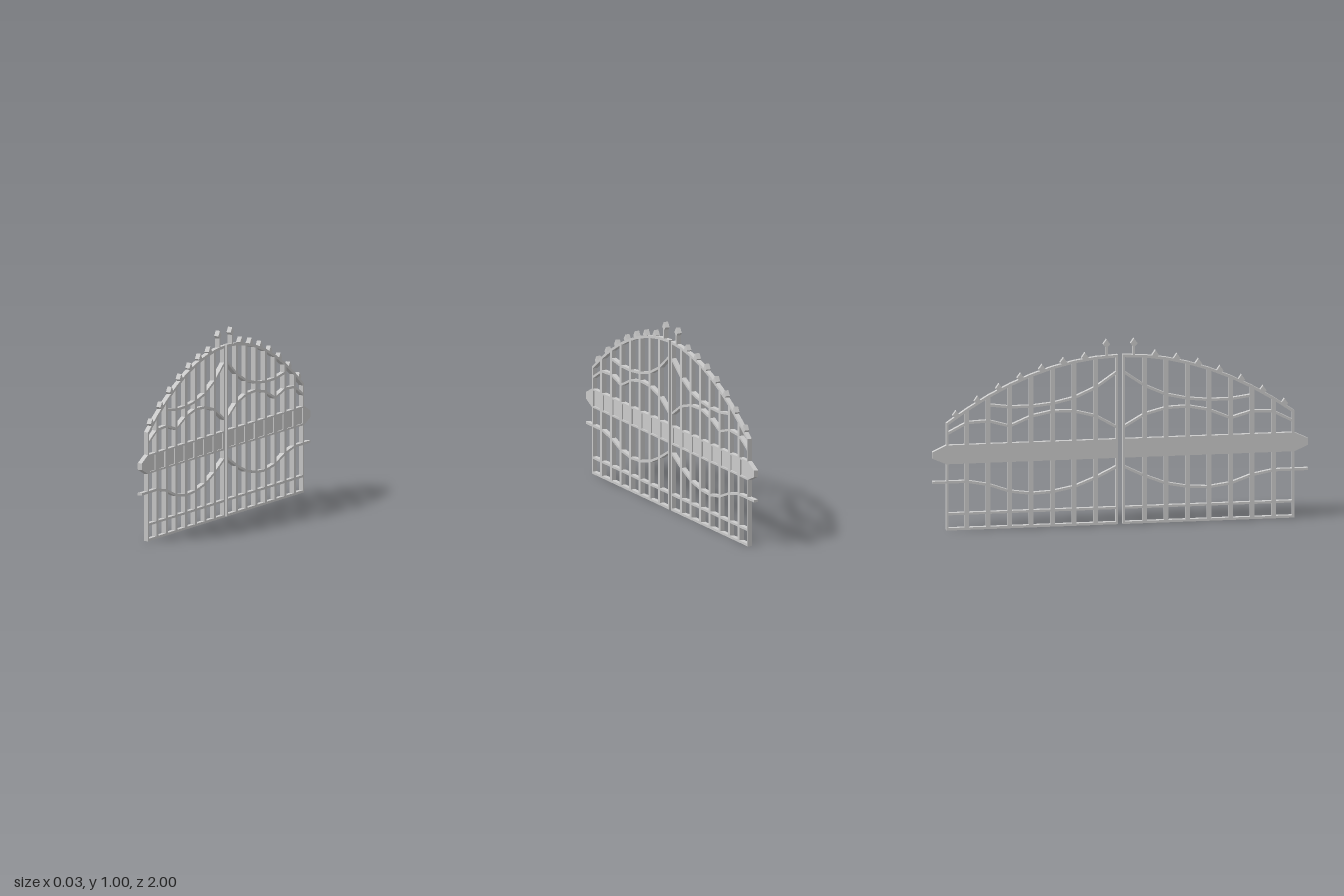
import * as THREE from 'three';

const T = 0.025; // thickness of the gate along x
const material = new THREE.MeshStandardMaterial({ color: 0xcccccc, flatShading: true, side: THREE.DoubleSide });
const INNER = 0.013, OUTER = 0.926, PITCH = 0.1145;

// Top edge of the arched rail
const archY = (z) => 0.915 - 0.336 * (z / 0.925) ** 2;

export function createModel() {
  const gate = new THREE.Group();
  gate.name = 'doubleGate';

  for (const side of [1, -1]) {
    const leaf = new THREE.Group();
    leaf.name = side > 0 ? 'frontLeaf' : 'backLeaf';
    gate.add(leaf);

    const toVectors = (points) => points.map(([z, y]) => new THREE.Vector2(z * side, y));

    // Flat plate from a [z, y] outline, filling x0..x1
    const plate = (name, outline, holes = [], x0 = -T / 2, x1 = T / 2) => {
      const shape = new THREE.Shape(toVectors(outline));
      holes.forEach((h) => shape.holes.push(new THREE.Path(toVectors(h))));
      const geo = new THREE.ExtrudeGeometry(shape, { depth: x1 - x0, bevelEnabled: false });
      geo.rotateY(-Math.PI / 2).translate(x1, 0, 0);
      const mesh = new THREE.Mesh(geo, material);
      mesh.name = name;
      leaf.add(mesh);
    };
    const rect = (z0, z1, y0, y1) => [[z0, y0], [z1, y0], [z1, y1], [z0, y1]];

    // Strip of even width along a centre line
    const strip = (name, points, width = 0.013) => {
      const edge = (sign) => points.map(([z, y], i) => {
        const a = points[Math.max(i - 1, 0)], b = points[Math.min(i + 1, points.length - 1)];
        const slope = (b[1] - a[1]) / (b[0] - a[0]);
        return [z, y + sign * width / 2 * Math.hypot(1, slope)];
      });
      plate(name, [...edge(1), ...edge(-1).reverse()]);
    };

    // Stiles and straight rails
    plate('innerStile', rect(INNER, 0.024, 0, archY(0.02) - 0.003));
    plate('outerStile', rect(0.915, OUTER, 0, archY(0.92) - 0.003));
    plate('bottomRail', rect(INNER, OUTER, 0, 0.013));
    plate('lowerRail', rect(INNER, OUTER, 0.082, 0.094));

    // Vertical bars up to the arch
    const barZ = Array.from({ length: 7 }, (_, i) => 0.13 + i * PITCH);
    for (const z of barZ) plate('verticalBar', rect(z - 0.012, z + 0.012, 0.005, archY(z) - 0.007));

    // Arched top rail, bent at each bar
    strip('archRail', [INNER, ...barZ, OUTER].map((z) => [z, archY(z) - 0.007]), 0.014);

    // Curved ornamental strips
    strip('lowerCurve', [[0.018, 0.31], [0.13, 0.255], [0.245, 0.21], [0.36, 0.188], [0.47, 0.182],
      [0.588, 0.198], [0.7, 0.238], [0.815, 0.26], [1, 0.26]]);
    strip('middleCurve', [[0.018, 0.523], [0.13, 0.588], [0.245, 0.618], [0.36, 0.622], [0.47, 0.6],
      [0.588, 0.55], [0.7, 0.582], [0.815, 0.577], [0.92, 0.522]]);
    strip('upperCurve', [[0.018, 0.82], [0.13, 0.742], [0.245, 0.69], [0.36, 0.664], [0.47, 0.653],
      [0.588, 0.653], [0.7, 0.668]]);

    // Broad band with recessed panels on the +x face and a tapered end
    const panelZ = Array.from({ length: 8 }, (_, i) => 0.073 + i * PITCH);
    plate('bandFrame',
      [[INNER, 0.358], [OUTER, 0.358], [1, 0.39], [1, 0.425], [OUTER, 0.46], [INNER, 0.46]],
      panelZ.map((z) => rect(z - 0.038, z + 0.038, 0.368, 0.451)));
    plate('bandBacking', rect(INNER + 0.002, OUTER - 0.002, 0.36, 0.458), [], -T / 2, 0.006);

    // Spearheads along the arch, the innermost one on a tall stem
    panelZ.forEach((z, i) => {
      const y = i === 0 ? 0.973 : archY(z) + 0.004;
      plate('spearhead', [[z, y + 0.027], [z - 0.019, y], [z - 0.007, y - 0.014],
        [z + 0.007, y - 0.014], [z + 0.019, y]]);
      if (i === 0) plate('spearStem', rect(z - 0.006, z + 0.006, archY(z) - 0.007, y - 0.01));
    });
  }
  return gate;
}
